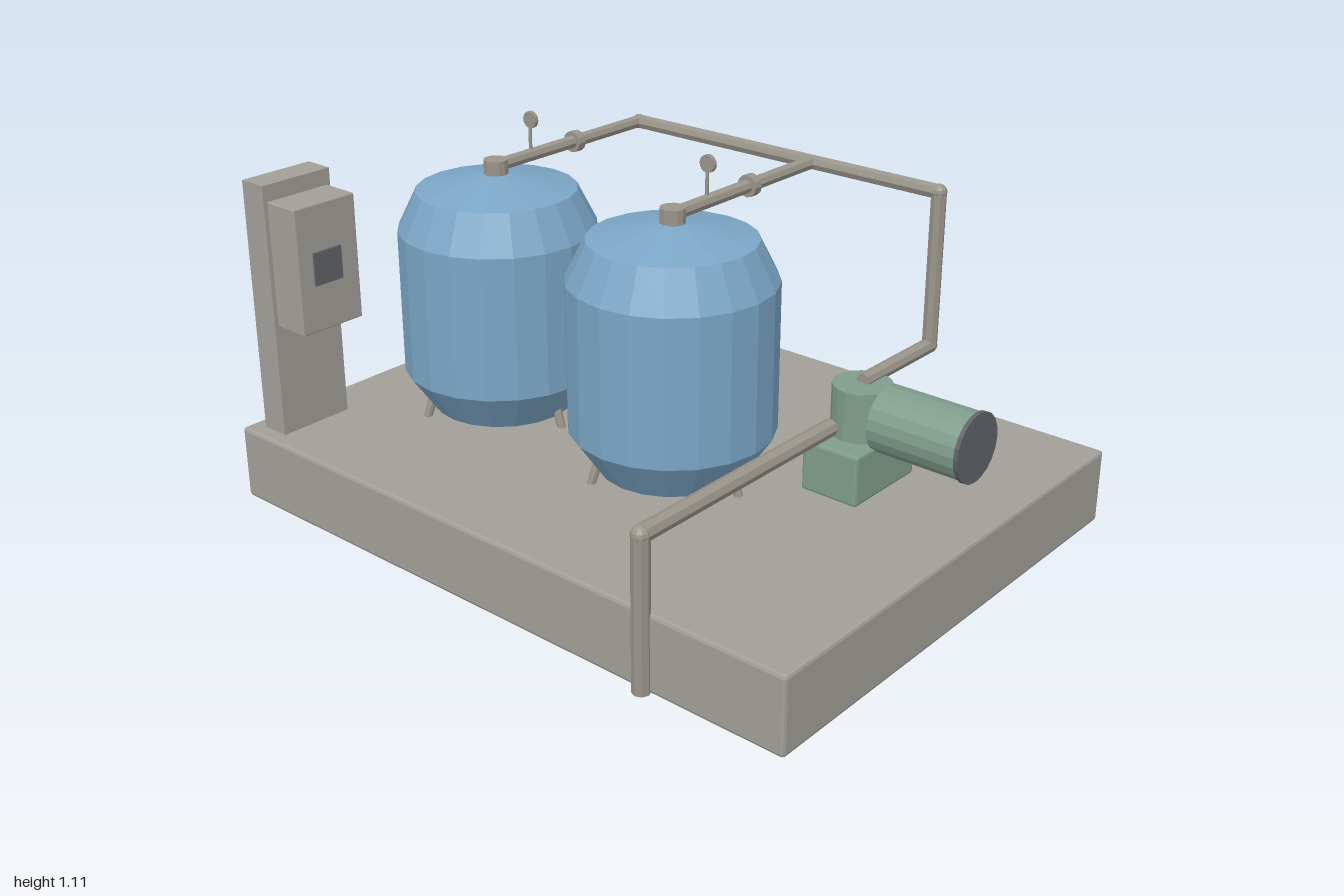
import * as THREE from 'three';
import { RoundedBoxGeometry } from 'three/addons/geometries/RoundedBoxGeometry.js';

const material = (name, color, flatShading = true) => {
  const m = new THREE.MeshStandardMaterial({ color, flatShading });
  m.name = name;
  return m;
};

export function createModel() {
  const concrete = material('concrete grey', 0xa19f98);
  const steel = material('pipe steel', 0x9a958a);
  const blue = material('tank blue', 0x7ba6c6);
  const green = material('pump green', 0x7f9d8c);
  const dark = material('dark grey', 0x606266);
  const model = new THREE.Group();
  model.name = 'filterStation';

  const add = (parent, name, geometry, mat, x = 0, y = 0, z = 0) => {
    const mesh = new THREE.Mesh(geometry, mat);
    mesh.name = name;
    mesh.position.set(x, y, z);
    parent.add(mesh);
    return mesh;
  };

  // Box given by its minimum and maximum corners, with optional bevel
  const box = (parent, name, mat, [x0, y0, z0], [x1, y1, z1], bevel = 0) => {
    const size = [x1 - x0, y1 - y0, z1 - z0];
    const geometry = bevel
      ? new RoundedBoxGeometry(...size, 1, bevel)
      : new THREE.BoxGeometry(...size);
    return add(parent, name, geometry, mat, (x0 + x1) / 2, (y0 + y1) / 2, (z0 + z1) / 2);
  };

  // Cylinder between two points
  const rod = (parent, name, mat, a, b, r0, r1 = r0, sides = 8) => {
    const from = new THREE.Vector3(...a), to = new THREE.Vector3(...b);
    const dir = to.clone().sub(from);
    const mesh = add(parent, name, new THREE.CylinderGeometry(r1, r0, dir.length(), sides), mat);
    mesh.position.copy(from).add(to).multiplyScalar(0.5);
    mesh.quaternion.setFromUnitVectors(new THREE.Vector3(0, 1, 0), dir.normalize());
    return mesh;
  };

  // Pipe run through a list of points, with a round elbow at each bend
  const pipeRun = (name, points, r) => {
    const group = new THREE.Group();
    group.name = name;
    model.add(group);
    points.forEach((p, i) => {
      if (i > 0) rod(group, 'pipe', steel, points[i - 1], p, r);
      if (i > 0 && i < points.length - 1) {
        add(group, 'elbow', new THREE.SphereGeometry(r * 1.03, 10, 8), steel, ...p);
      }
    });
  };

  // Foundation slab
  box(model, 'foundation', concrete, [-1, 0, -0.77], [1, 0.225, 0.745], 0.01);

  // Pressure tanks with legs, neck, valve flange and gauge
  const profile = [[0, 0.228], [0.21, 0.25], [0.292, 0.37], [0.292, 0.8], [0.235, 0.915], [0.04, 0.958], [0, 0.958]]
    .map(([x, y]) => new THREE.Vector2(x, y));
  for (const x of [-0.525, 0.14]) {
    const tank = new THREE.Group();
    tank.name = 'tank';
    tank.position.set(x, 0, 0.13);
    model.add(tank);
    add(tank, 'vessel', new THREE.LatheGeometry(profile, 20), blue);
    for (let i = 0; i < 3; i++) {
      const a = i * Math.PI * 2 / 3, c = Math.cos(a), s = Math.sin(a);
      rod(tank, 'leg', steel, [0.238 * c, 0.222, 0.238 * s], [0.215 * c, 0.29, 0.215 * s], 0.012, 0.014);
    }
    rod(tank, 'neck', steel, [0, 0.95, 0], [0, 1, 0], 0.036, 0.036, 12);
    rod(tank, 'outletPipe', steel, [0, 0.98, 0], [0, 0.98, -0.62], 0.02);
    rod(tank, 'flange', steel, [0, 0.98, -0.315], [0, 0.98, -0.343], 0.032, 0.032, 12);
    rod(tank, 'gaugeStem', steel, [0, 0.985, -0.142], [0, 1.07, -0.142], 0.005);
    rod(tank, 'gaugeDial', steel, [0, 1.085, -0.152], [0, 1.085, -0.14], 0.025, 0.025, 16);
  }

  // Header down to the pump, and the discharge line over the slab edge
  const header = [[-0.525, 0.98, -0.49], [0.57, 0.98, -0.49], [0.57, 0.525, -0.49], [0.57, 0.525, -0.16]];
  pipeRun('headerPipe', header, 0.022);
  add(model, 'headerElbow', new THREE.SphereGeometry(0.022, 10, 8), steel, ...header[0]);
  pipeRun('dischargePipe', [[0.57, 0.44, -0.015], [0.57, 0.44, 0.752], [0.57, 0, 0.752]], 0.025);

  // Pump and motor
  const pump = new THREE.Group();
  pump.name = 'pump';
  model.add(pump);
  box(pump, 'pumpBase', green, [0.48, 0.225, -0.297], [0.66, 0.375, -0.015], 0.008);
  rod(pump, 'pumpHousing', green, [0.57, 0.37, -0.16], [0.57, 0.52, -0.16], 0.084, 0.084, 20);
  rod(pump, 'motor', green, [0.65, 0.44, -0.16], [0.922, 0.44, -0.16], 0.096, 0.096, 20);
  rod(pump, 'motorCover', dark, [0.922, 0.44, -0.16], [0.934, 0.44, -0.16], 0.1, 0.1, 20);

  // Control cabinet on its upright
  const cabinet = new THREE.Group();
  cabinet.name = 'controlCabinet';
  model.add(cabinet);
  box(cabinet, 'upright', concrete, [-0.952, 0.225, 0.463], [-0.862, 0.985, 0.697]);
  box(cabinet, 'controlBox', concrete, [-0.862, 0.563, 0.475], [-0.744, 0.938, 0.687], 0.004);
  box(cabinet, 'screen', dark, [-0.745, 0.702, 0.538], [-0.738, 0.8, 0.635]);

  return model;
}
